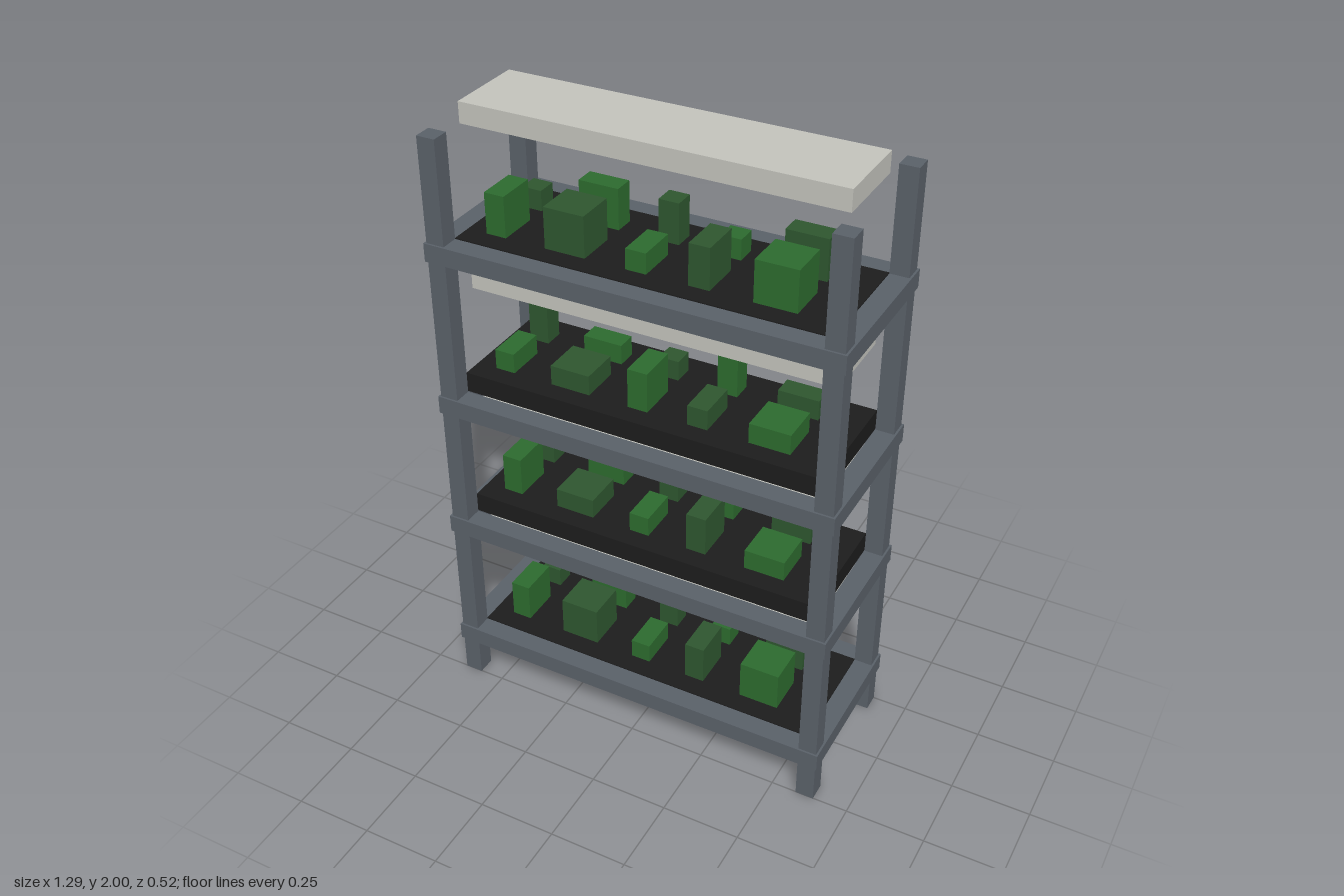
import * as THREE from 'three';

const U = 2 / 31; // one design unit; everything is laid out on this grid

const mat = (name, color) => {
  const m = new THREE.MeshStandardMaterial({ color });
  m.name = name;
  return m;
};

// Box from its min and max corners, in design units
function box(parent, name, material, x0, x1, y0, y1, z0, z1) {
  const mesh = new THREE.Mesh(
    new THREE.BoxGeometry((x1 - x0) * U, (y1 - y0) * U, (z1 - z0) * U), material);
  mesh.position.set((x0 + x1) / 2 * U, (y0 + y1) / 2 * U, (z0 + z1) / 2 * U);
  mesh.name = name;
  parent.add(mesh);
  return mesh;
}

export function createModel() {
  const frame = mat('frame grey', 0x596068);
  const soil = mat('tray black', 0x1c1c1c);
  const lampMat = mat('lamp off-white', 0xc2c2bb);
  const greens = [mat('bright leaf green', 0x2c6a2e), mat('dull leaf green', 0x2e562f)];

  const model = new THREE.Group();
  model.name = 'growRack';

  // Corner posts
  for (const sx of [-1, 1]) for (const sz of [-1, 1]) {
    const post = box(model, 'post', frame, 9, 9.9, 0, 30, 3, 3.9);
    post.position.x *= sx;
    post.position.z *= sz;
  }

  // Each shelf: rail base, tray base, lamp base, plant heights front and back
  const shelves = [
    { rail: 2, tray: 2, lamp: 8, front: [2, 2, 1, 2, 2], back: [1, 2, 2, 1, 2] },
    { rail: 9, tray: 10, lamp: 15, front: [2, 1, 1, 2, 1], back: [1, 2, 1, 1, 2] },
    { rail: 16, tray: 17, lamp: 22, front: [1, 1, 2, 1, 1], back: [2, 1, 1, 2, 1] },
    { rail: 24, tray: 24, lamp: 30, front: [2, 2, 1, 2, 2], back: [1, 2, 2, 1, 2] },
  ];
  const columns = [[-8, -7], [-5, -3], [-1, 0], [2, 3], [5, 7]];

  for (const s of shelves) {
    const shelf = new THREE.Group();
    shelf.name = 'shelf';
    model.add(shelf);

    // Rails wrapping the posts
    const r0 = s.rail + 0.05, r1 = s.rail + 0.95;
    for (const side of [-1, 1]) {
      box(shelf, 'longRail', frame, -10, 10, r0, r1, 3, 4).position.z *= side;
      box(shelf, 'endRail', frame, 9, 10, r0, r1, -3, 3).position.x *= side;
    }

    // Growing tray and the lamp hung above it
    box(shelf, 'tray', soil, -9, 9, s.tray, s.tray + 1, -3, 3);
    box(shelf, 'lamp', lampMat, -9, 9, s.lamp, s.lamp + 1, -2, 2);

    // Two rows of plants in alternating greens
    const y = s.tray + 1;
    columns.forEach(([x0, x1], i) => {
      box(shelf, 'frontPlant', greens[i % 2], x0, x1, y, y + s.front[i], 0, 2);
      box(shelf, 'backPlant', greens[(i + 1) % 2], x0, x1, y, y + s.back[i], -2, -1);
    });
  }
  return model;
}
